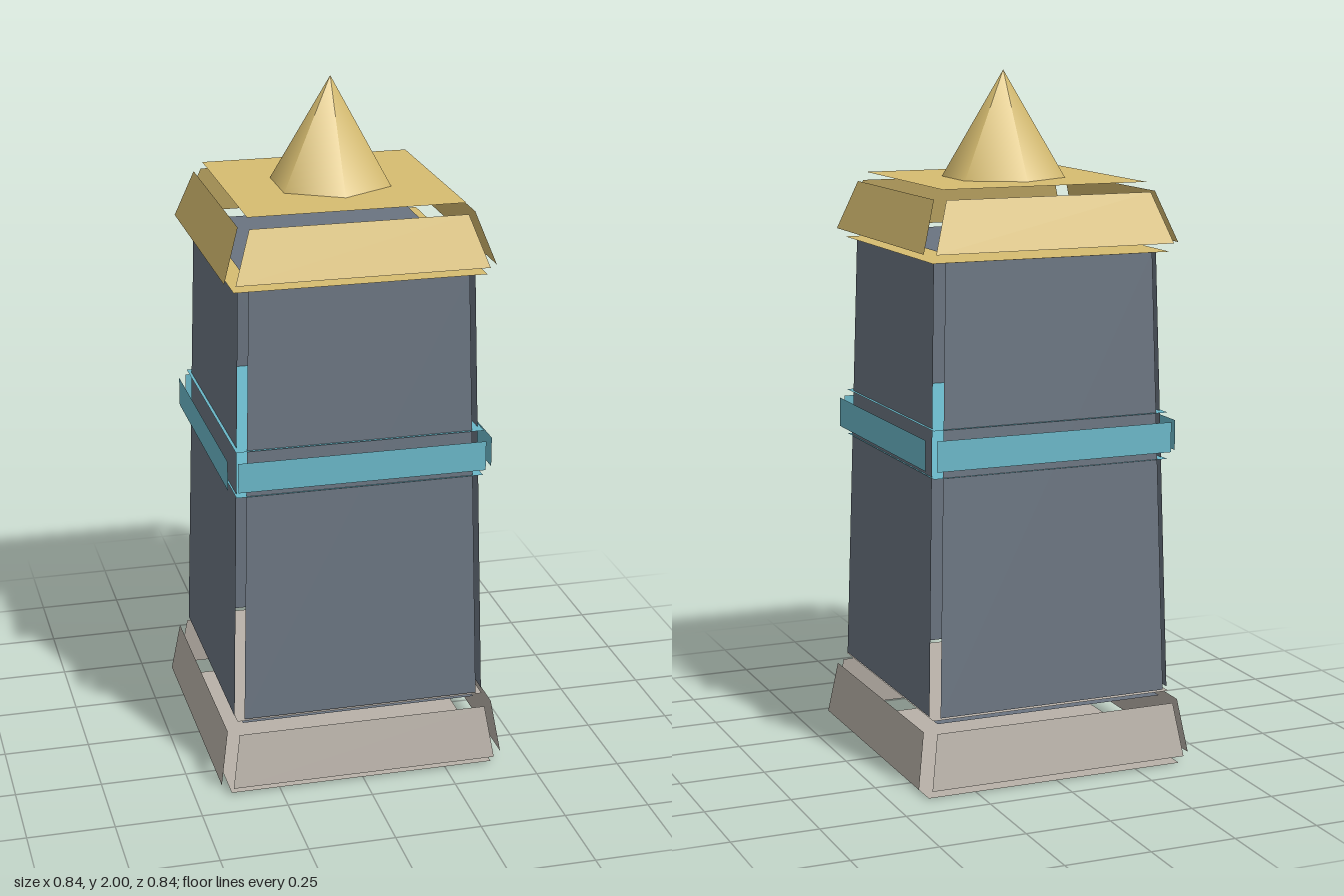
import * as THREE from 'three';

const flat = (name, color) => {
  const m = new THREE.MeshStandardMaterial({ color, side: THREE.DoubleSide });
  m.name = name;
  return m;
};

// Four-cornered sheet, corners counter-clockwise seen from outside
function sheet(corners, material, name) {
  const g = new THREE.BufferGeometry();
  g.setAttribute('position', new THREE.Float32BufferAttribute(corners.flat(), 3));
  g.setIndex([0, 1, 2, 0, 2, 3]);
  g.computeVertexNormals();
  const mesh = new THREE.Mesh(g, material);
  mesh.name = name;
  return mesh;
}

// Tapered box of six loose sheets, with open gaps of width `gap` along its edges.
// lo and hi are the half widths of the sheets, y0 and y1 the full height.
function panelBox(name, material, { y0, y1, lo, hi, gap }) {
  const box = new THREE.Group();
  box.name = name;
  const a = y0 + gap, b = y1 - gap;
  ['Front', 'Left', 'Back', 'Right'].forEach((side, i) => {
    const wall = sheet([
      [-lo, a, lo + gap], [lo, a, lo + gap], [hi, b, hi + gap], [-hi, b, hi + gap],
    ], material, name + side);
    wall.rotation.y = i * Math.PI / 2;
    box.add(wall);
  });
  box.add(sheet([[-hi, y1, hi], [hi, y1, hi], [hi, y1, -hi], [-hi, y1, -hi]], material, name + 'Top'));
  box.add(sheet([[-lo, y0, -lo], [lo, y0, -lo], [lo, y0, lo], [-lo, y0, lo]], material, name + 'Bottom'));
  return box;
}

export function createModel() {
  const stone = flat('pale stone', 0xb8b1a8);
  const slate = flat('slate', 0x6a7480);
  const cyan = flat('cyan', 0x6ab7c8);
  const gold = flat('gold', 0xd6bc70);

  const model = new THREE.Group();
  model.name = 'obelisk';

  // Stacked tapered blocks
  model.add(
    panelBox('base', stone, { y0: 0, y1: 0.215, lo: 0.392, hi: 0.367, gap: 0.029 }),
    panelBox('shaft', slate, { y0: 0.198, y1: 1.522, lo: 0.347, hi: 0.313, gap: 0.024 }),
    panelBox('band', cyan, { y0: 0.904, y1: 1.039, lo: 0.358, hi: 0.358, gap: 0.024 }),
    panelBox('cap', gold, { y0: 1.5, y1: 1.694, lo: 0.358, hi: 0.308, gap: 0.026 }),
  );

  // Six-sided smooth-shaded tip
  const tip = new THREE.Mesh(new THREE.ConeGeometry(0.181, 0.31, 6), gold);
  tip.name = 'tip';
  tip.position.y = 1.845;
  model.add(tip);

  return model;
}
